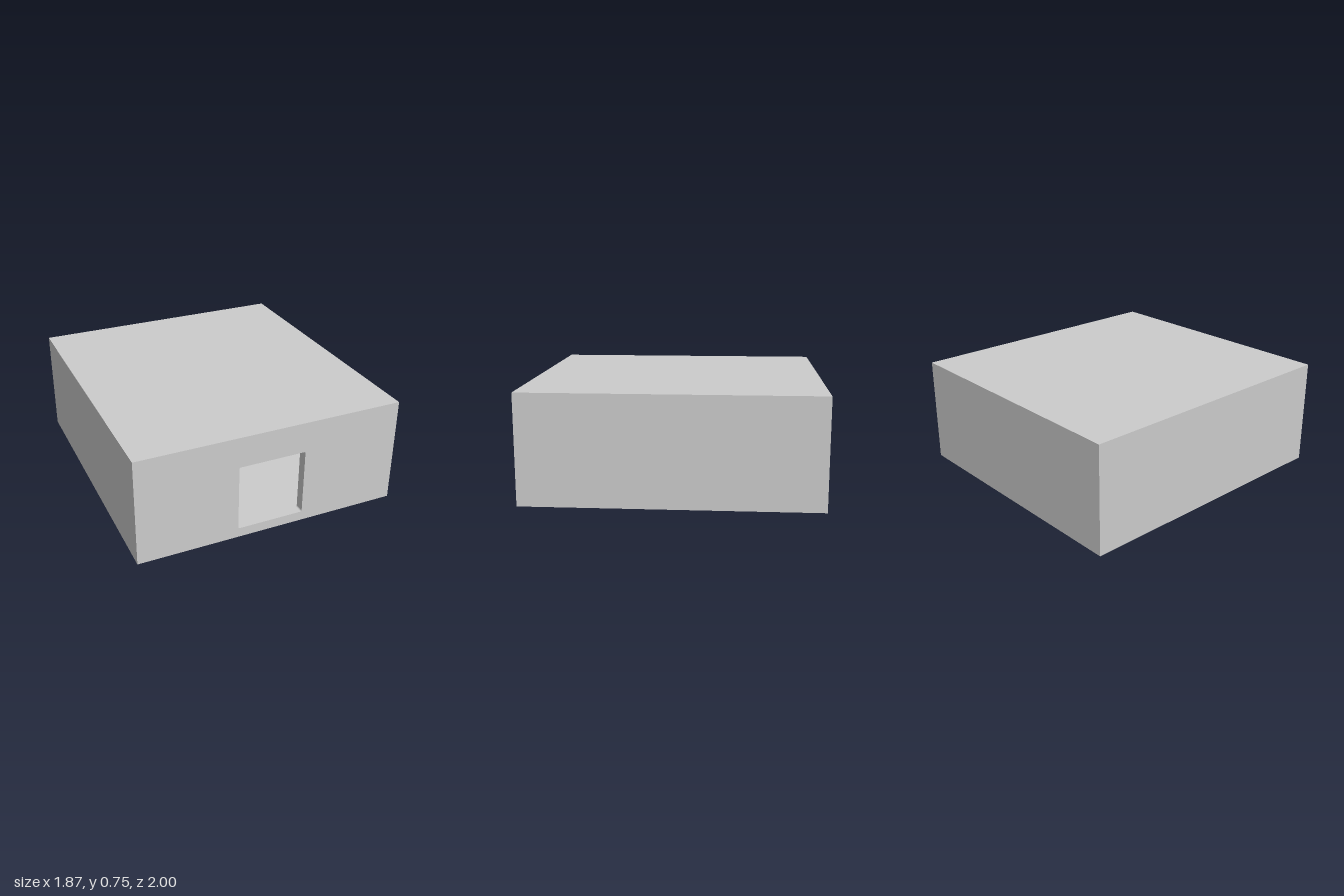
import * as THREE from 'three';

const W = 1.866, H = 0.75, D = 2, T = 0.067; // outer size and wall thickness

function roundedRect(path, x0, y0, x1, y1, r) {
  path.moveTo(x0 + r, y0);
  path.lineTo(x1 - r, y0);
  path.absarc(x1 - r, y0 + r, r, -Math.PI / 2, 0);
  path.lineTo(x1, y1 - r);
  path.absarc(x1 - r, y1 - r, r, 0, Math.PI / 2);
  path.lineTo(x0 + r, y1);
  path.absarc(x0 + r, y1 - r, r, Math.PI / 2, Math.PI);
  path.lineTo(x0, y0 + r);
  path.absarc(x0 + r, y0 + r, r, Math.PI, Math.PI * 1.5);
  return path;
}

function rect(path, x0, y0, x1, y1) {
  path.moveTo(x0, y0);
  path.lineTo(x1, y0);
  path.lineTo(x1, y1);
  path.lineTo(x0, y1);
  path.closePath();
  return path;
}

export function createModel() {
  const group = new THREE.Group();
  group.name = 'hollowBox';
  const material = new THREE.MeshStandardMaterial({ color: 0xcccccc });

  // Outer rectangle, optionally pierced, extruded along z
  const addSlab = (name, z, depth, hole) => {
    const shape = rect(new THREE.Shape(), -W / 2, 0, W / 2, H);
    if (hole) shape.holes.push(hole);
    const geometry = new THREE.ExtrudeGeometry(shape, { depth, bevelEnabled: false, curveSegments: 6 });
    const mesh = new THREE.Mesh(geometry, material);
    mesh.name = name;
    mesh.position.z = z;
    group.add(mesh);
  };

  // Floor, roof and side walls as one sleeve around the chamber
  addSlab('sleeve', -D / 2 + T, D - 2 * T, rect(new THREE.Path(), -W / 2 + T, T, W / 2 - T, H - T));
  addSlab('backWall', -D / 2, T);
  // Front wall with its square, slightly rounded entrance
  addSlab('frontWall', D / 2 - T, T, roundedRect(new THREE.Path(), -0.236, T, 0.236, 0.535, 0.01));

  return group;
}
